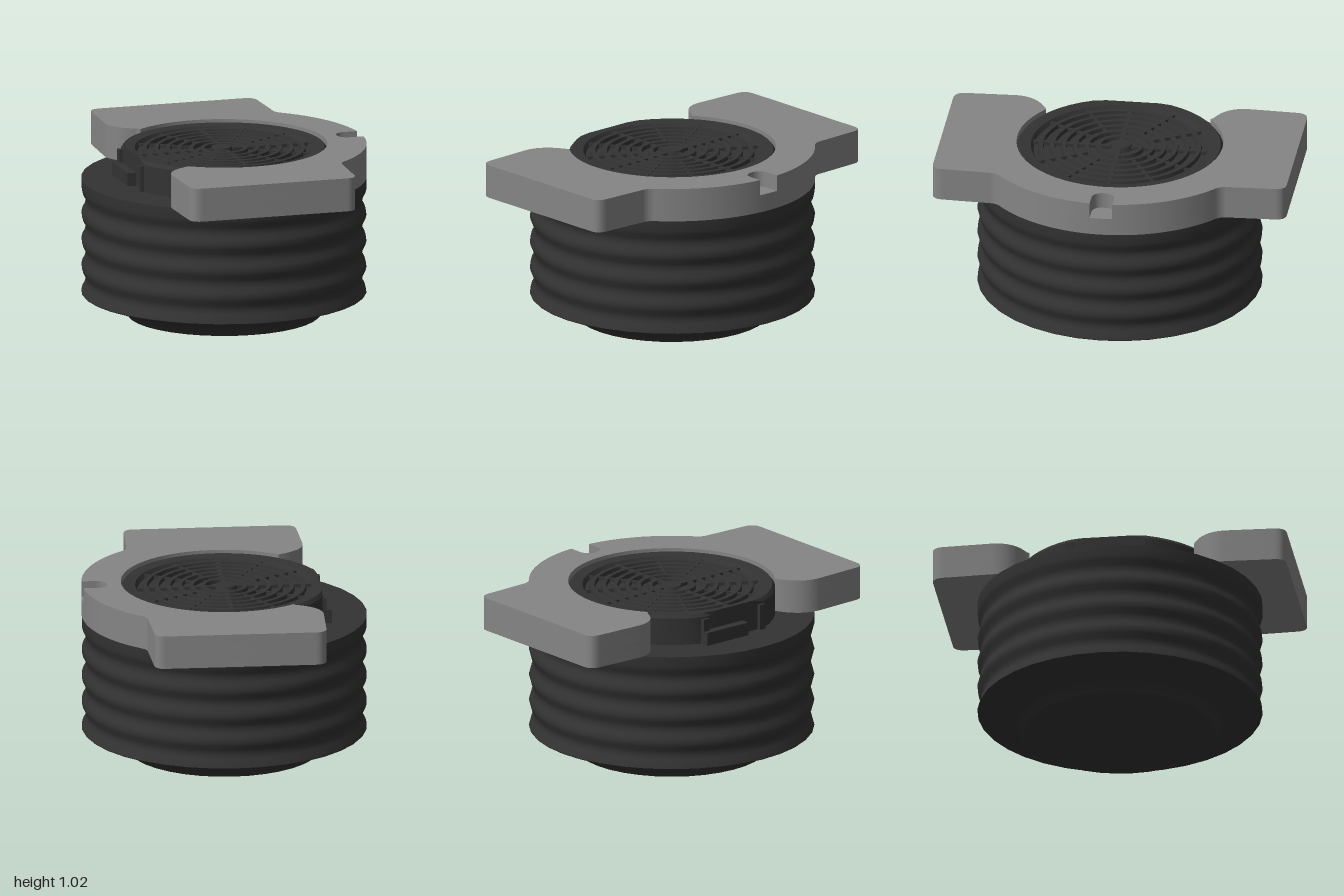
import * as THREE from 'three';
import { toCreasedNormals } from 'three/addons/utils/BufferGeometryUtils.js';

const dark = new THREE.MeshStandardMaterial({ color: 0x333333 });
const grey = new THREE.MeshStandardMaterial({ color: 0x858585 });

function part(name, geometry, material, parent) {
  const mesh = new THREE.Mesh(geometry, material);
  mesh.name = name;
  parent.add(mesh);
  return mesh;
}

function lathe(points, segments) {
  return new THREE.LatheGeometry(points.map(([r, y]) => new THREE.Vector2(r, y)), segments);
}

// Flat outline in x and z, extruded between two heights
function slab(shape, bottom, top) {
  const g = new THREE.ExtrudeGeometry(shape, { depth: top - bottom, bevelEnabled: false, curveSegments: 20 });
  g.rotateX(Math.PI / 2).translate(0, top, 0);
  return toCreasedNormals(g, 0.6);
}

// Two end tabs joined by an arm that curves round the left side
function bracketShape(notched) {
  const s = new THREE.Shape();
  const a = 0.865;
  s.moveTo(-0.5, 0.66);
  s.lineTo(-0.49, 0.93);
  s.quadraticCurveTo(-0.49, 1, -0.42, 1);
  s.lineTo(0.42, 1);
  s.quadraticCurveTo(0.48, 1, 0.48, 0.93);
  s.lineTo(0.49, 0.67);
  s.quadraticCurveTo(0.49, 0.635, 0.519, 0.609);
  if (notched) {
    s.absarc(0, 0, 0.8, a, 0.08, true);
    s.lineTo(0.72, 0.064);
    s.quadraticCurveTo(0.66, 0.06, 0.66, 0);
    s.quadraticCurveTo(0.66, -0.06, 0.72, -0.064);
    s.absarc(0, 0, 0.8, -0.08, -a, true);
  } else {
    s.absarc(0, 0, 0.8, a, -a, true);
  }
  s.quadraticCurveTo(0.49, -0.635, 0.49, -0.67);
  s.lineTo(0.48, -0.93);
  s.quadraticCurveTo(0.48, -1, 0.42, -1);
  s.lineTo(-0.42, -1);
  s.quadraticCurveTo(-0.49, -1, -0.49, -0.93);
  s.lineTo(-0.5, -0.66);
  s.quadraticCurveTo(-0.5, -0.53, -0.36, -0.48);
  s.absarc(0, 0, 0.58, -2.214, 2.214, false);
  s.quadraticCurveTo(-0.5, 0.53, -0.5, 0.66);
  return s;
}

export function createModel() {
  const model = new THREE.Group();

  // Ribbed drum with a stepped, dished underside
  const profile = [[0, 0.03], [0.1, 0.03], [0.19, 0.01], [0.22, 0], [0.31, 0], [0.33, 0.015],
    [0.43, 0.02], [0.45, 0.035], [0.54, 0.04], [0.58, 0.09], [0.66, 0.115], [0.69, 0.14], [0.795, 0.165]];
  const ribs = 4, steps = 6;
  for (let i = 0; i <= ribs * steps; i++) {
    const t = i / steps;
    profile.push([0.787 + 0.013 * Math.cos(t * Math.PI * 2), 0.17 + (0.6 * t) / ribs]);
  }
  profile.push([0.8, 0.83], [0, 0.83]);
  part('drum', toCreasedNormals(lathe(profile, 36), 0.6), dark, model);

  // Bracket, with a notch cut only in its upper half
  const bracket = new THREE.Group();
  bracket.name = 'bracket';
  model.add(bracket);
  part('bracketLower', slab(bracketShape(false), 0.83, 0.93), grey, bracket);
  part('bracketUpper', slab(bracketShape(true), 0.93, 1.02), grey, bracket);

  // Round cap, cut flat on its right side
  const cap = lathe([[0.58, 0.82], [0.58, 0.985], [0.565, 1.005], [0.5, 1.0], [0.485, 0.975], [0, 0.975]], 48);
  const p = cap.attributes.position;
  for (let i = 0; i < p.count; i++) p.setX(i, Math.max(p.getX(i), -0.535));
  part('cap', toCreasedNormals(cap, 0.5), dark, model);

  // Grille: concentric rings, spokes and a hub
  const grille = new THREE.Group();
  grille.name = 'grille';
  model.add(grille);
  for (let i = 0; i < 6; i++) {
    const r = 0.12 + i * 0.065;
    const ring = lathe([[r - 0.017, 0.97], [r - 0.012, 0.997], [r + 0.012, 0.997], [r + 0.017, 0.97]].reverse(), 40);
    part('grilleRing', toCreasedNormals(ring, 0.6), dark, grille);
  }
  for (let i = 0; i < 12; i++) {
    const main = i % 3 === 0;
    const inner = main ? 0.05 : 0.17;
    const spoke = new THREE.BoxGeometry(0.49 - inner, 0.024, main ? 0.028 : 0.018);
    spoke.translate((0.49 + inner) / 2, 0.982, 0).rotateY((i * Math.PI) / 6);
    part('grilleSpoke', spoke, dark, grille);
  }
  part('grilleHub', new THREE.CylinderGeometry(0.055, 0.065, 0.035, 16).translate(-0.01, 0.985, -0.01), dark, grille);

  // Latch on the flat side of the cap
  const latch = new THREE.Group();
  latch.name = 'latch';
  model.add(latch);
  part('latchStep', new THREE.BoxGeometry(0.06, 0.08, 0.3).translate(-0.555, 0.865, -0.08), dark, latch);
  for (const z of [-0.21, 0.2]) {
    part('latchPost', new THREE.BoxGeometry(0.04, 0.15, 0.04).translate(-0.535, 0.9, z), dark, latch);
  }
  return model;
}
